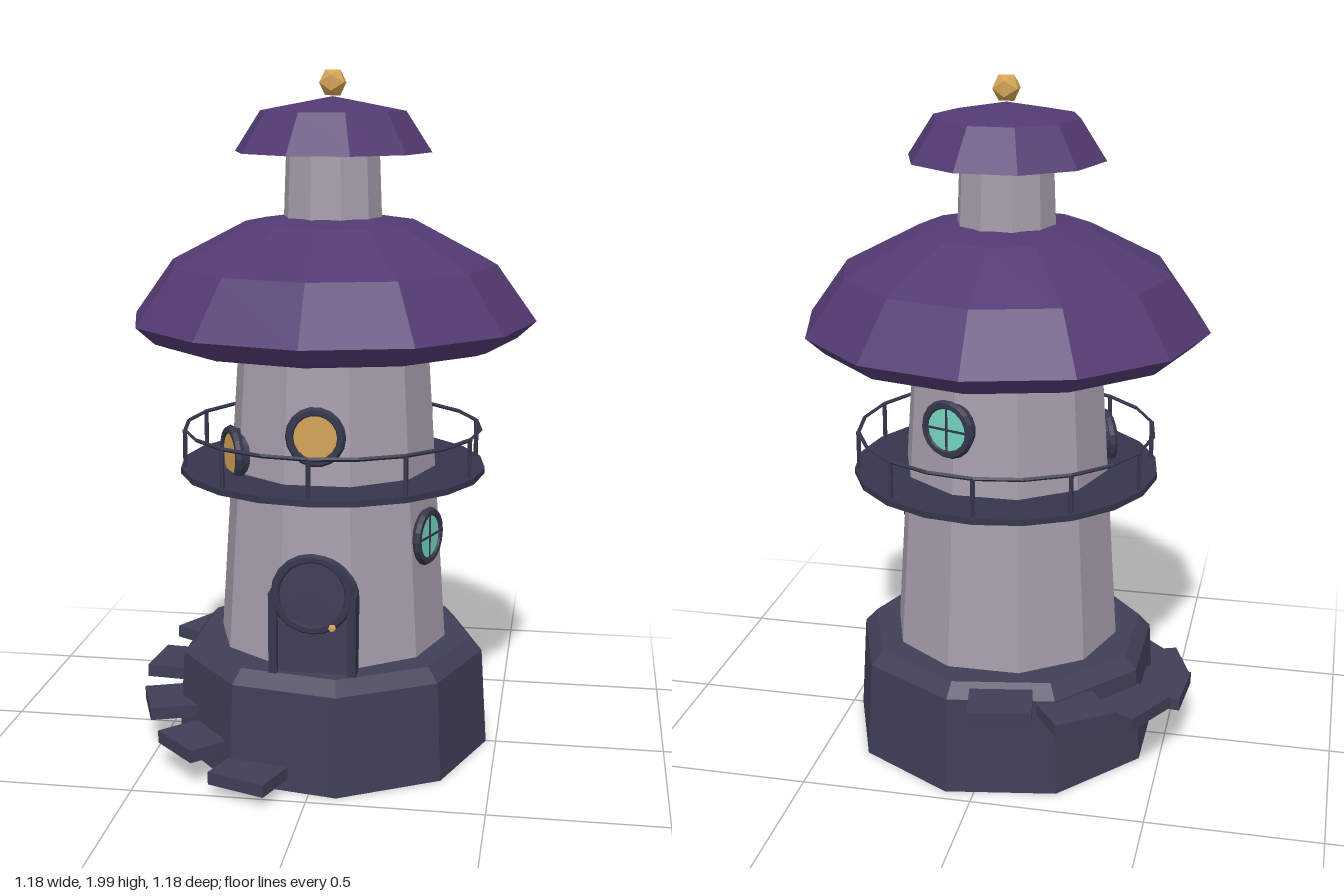
import * as THREE from 'three';

const mat = (name, color) => {
  const m = new THREE.MeshStandardMaterial({ color, flatShading: true });
  m.name = name;
  return m;
};

export function createModel() {
  const root = new THREE.Group();
  const stone = mat('pale stone', 0xa69dab);
  const slate = mat('dark slate', 0x3f3f57);
  slate.side = THREE.DoubleSide;
  const iron = mat('dark iron', 0x35364c);
  const purple = mat('purple roof', 0x523a72);
  const gold = mat('gold', 0xd4a457);
  const teal = mat('teal glass', 0x74d6bf);
  const rad = THREE.MathUtils.degToRad;

  const add = (parent, name, geo, material, x = 0, y = 0, z = 0) => {
    const m = new THREE.Mesh(geo, material);
    m.name = name;
    m.position.set(x, y, z);
    parent.add(m);
    return m;
  };
  // Faceted solid turned from [radius, height] pairs, bottom to top
  const lathe = (name, pts, sides, turn, material) =>
    add(root, name, new THREE.LatheGeometry(
      pts.map(([r, y]) => new THREE.Vector2(r, y)), sides, rad(turn)), material);
  // Group placed around the tower, its own +z pointing outward
  const around = (name, angle, radius, y) => {
    const g = new THREE.Group();
    g.name = name;
    g.position.set(Math.sin(rad(angle)) * radius, y, Math.cos(rad(angle)) * radius);
    g.rotation.y = rad(angle);
    root.add(g);
    return g;
  };

  // Main masses; the foundation is open underneath
  lathe('foundation', [[0.47, 0], [0.452, 0.29], [0.415, 0.33], [0, 0.33]], 9, 9.8, slate);
  lathe('tower', [[0.34, 0.331], [0.28, 1.225]], 10, 18, stone);
  lathe('mainRoof', [[0.27, 1.205], [0.5, 1.228], [0.535, 1.24], [0.59, 1.29],
    [0.475, 1.45], [0.255, 1.565], [0.12, 1.585], [0, 1.585]], 12, 0, purple);
  lathe('turret', [[0.143, 1.57], [0.135, 1.78]], 10, 18, stone);
  lathe('turretRoof', [[0, 1.765], [0.285, 1.765], [0.21, 1.88], [0, 1.92]], 10, 18, purple);
  add(root, 'finial', new THREE.IcosahedronGeometry(0.042, 0), gold, 0, 1.958, 0);

  // Balcony with railing
  add(root, 'balconyFloor', new THREE.CylinderGeometry(0.45, 0.45, 0.018, 20), iron, 0, 0.846, 0);
  const rail = add(root, 'handrail', new THREE.TorusGeometry(0.436, 0.006, 4, 20), iron, 0, 0.966, 0);
  rail.rotation.x = Math.PI / 2;
  for (let i = 0; i < 10; i++) {
    const post = around('railPost', i * 36, 0.436, 0.908);
    add(post, 'post', new THREE.CylinderGeometry(0.007, 0.007, 0.12, 5), iron);
  }

  // Steps winding up round the foundation
  for (let i = 0; i < 7; i++) {
    const step = around('step', -20 - 25 * i, 0.494, 0.0525 + 0.0425 * i);
    add(step, 'tread', new THREE.BoxGeometry(0.18, 0.037, 0.14), slate);
  }

  // Round windows: [angle, radius, height, glass, has crossbars]
  [[0, 0.313, 1.0, gold, false], [-60, 0.312, 0.905, gold, false],
    [70, 0.314, 0.67, teal, true], [160, 0.308, 1.05, teal, true],
  ].forEach(([angle, radius, y, glass, bars]) => {
    const win = around('window', angle, radius, y);
    add(win, 'windowFrame', new THREE.TorusGeometry(0.072, 0.014, 6, 18), iron);
    const back = add(win, 'windowBack', new THREE.CylinderGeometry(0.074, 0.074, 0.03, 18), iron, 0, 0, -0.015);
    back.rotation.x = Math.PI / 2;
    const pane = add(win, 'windowPane', new THREE.CylinderGeometry(0.066, 0.066, 0.006, 18), glass, 0, 0, 0.003);
    pane.rotation.x = Math.PI / 2;
    if (bars) {
      add(win, 'crossbar', new THREE.BoxGeometry(0.13, 0.006, 0.006), iron, 0, 0, 0.006);
      add(win, 'mullion', new THREE.BoxGeometry(0.006, 0.13, 0.006), iron, 0, 0, 0.006);
    }
  });

  // Arched door with a round panel
  const door = new THREE.Group();
  door.name = 'door';
  root.add(door);
  const arch = new THREE.Shape();
  arch.moveTo(-0.122, 0.33);
  arch.lineTo(0.122, 0.33);
  arch.absarc(0, 0.535, 0.122, 0, Math.PI, false);
  arch.closePath();
  add(door, 'doorSurround', new THREE.ExtrudeGeometry(arch,
    { depth: 0.08, bevelEnabled: false, curveSegments: 8 }), slate, 0, 0, 0.285);
  for (const s of [-1, 1]) {
    add(door, 'doorJamb', new THREE.BoxGeometry(0.024, 0.235, 0.05), iron, s * 0.112, 0.4475, 0.36);
  }
  add(door, 'doorRing', new THREE.TorusGeometry(0.104, 0.014, 6, 20), iron, 0, 0.565, 0.374);
  const panel = add(door, 'doorPanel', new THREE.CylinderGeometry(0.1, 0.1, 0.014, 20), slate, 0, 0.565, 0.371);
  panel.rotation.x = Math.PI / 2;
  add(door, 'doorKnob', new THREE.IcosahedronGeometry(0.012, 0), gold, 0.058, 0.473, 0.388);

  return root;
}
